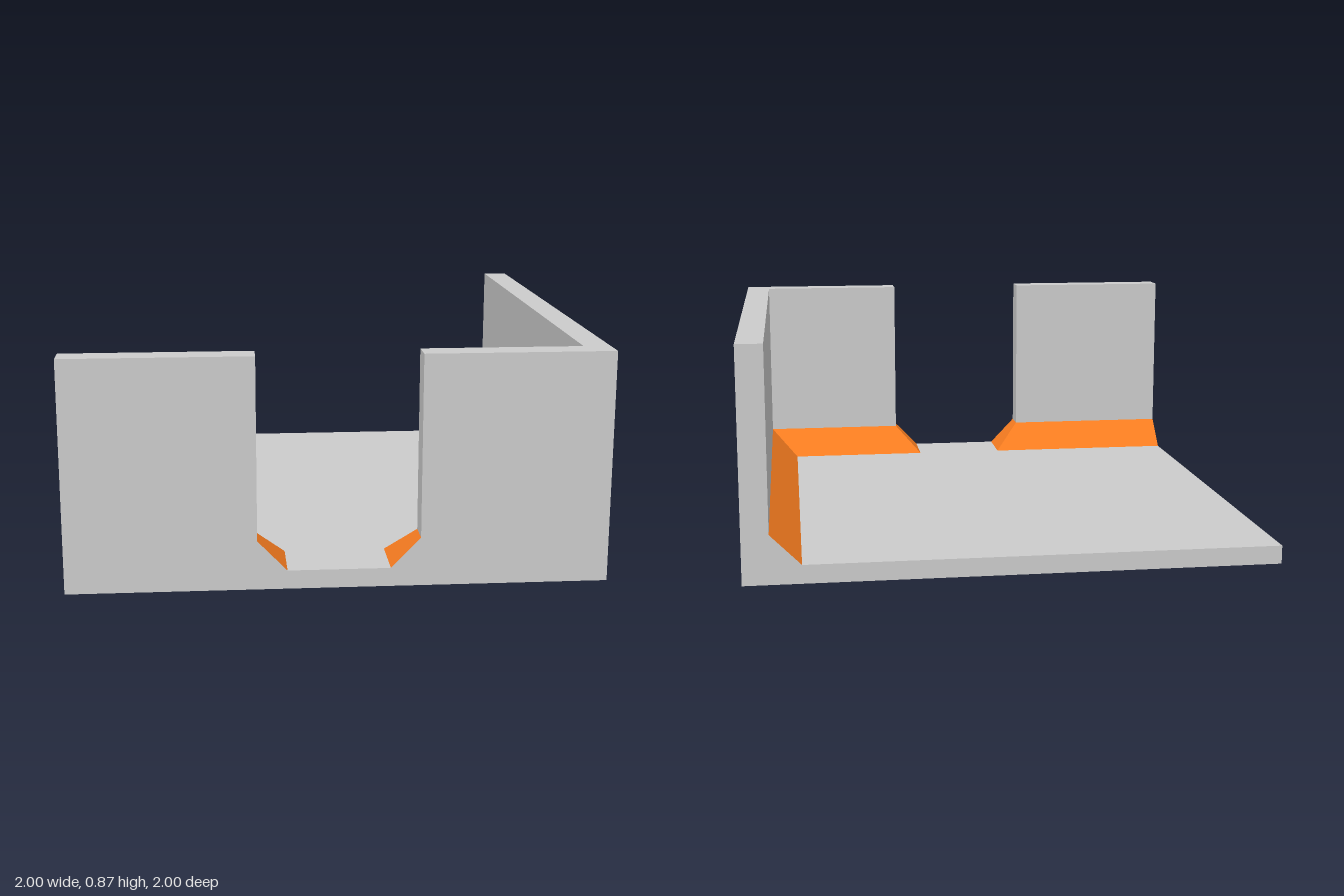
import * as THREE from 'three';

const FLOOR = 0.07, TOP = 0.87, RISE = 0.185;
const INNER = 0.785, WALL = 0.9, GATE_LOW = 0.19, GATE = 0.3;

const grey = new THREE.MeshStandardMaterial({ color: 0xcccccc, flatShading: true });
const orange = new THREE.MeshStandardMaterial({ color: 0xf97d20, flatShading: true });

// Box given by its lower and upper corners
function block(name, [x0, y0, z0], [x1, y1, z1]) {
  const mesh = new THREE.Mesh(new THREE.BoxGeometry(x1 - x0, y1 - y0, z1 - z0), grey);
  mesh.position.set((x0 + x1) / 2, (y0 + y1) / 2, (z0 + z1) / 2);
  mesh.name = name;
  return mesh;
}

function triangles(name, points, material) {
  const geometry = new THREE.BufferGeometry().setFromPoints(points);
  geometry.computeVertexNormals();
  const mesh = new THREE.Mesh(geometry, material);
  mesh.name = name;
  return mesh;
}

// Sloped fillet along paired floor and wall lines ([x, z] points), with grey ends
function fillet(name, floorLine, wallLine) {
  const low = floorLine.map(([x, z]) => new THREE.Vector3(x, FLOOR, z));
  const foot = wallLine.map(([x, z]) => new THREE.Vector3(x, FLOOR, z));
  const high = wallLine.map(([x, z]) => new THREE.Vector3(x, RISE, z));
  const slope = [];
  for (let i = 0; i < low.length - 1; i++) {
    slope.push(low[i], high[i], high[i + 1], low[i], high[i + 1], low[i + 1]);
  }
  const n = low.length - 1;
  const ends = [low[0], foot[0], high[0], low[n], high[n], foot[n]];
  const group = new THREE.Group();
  group.name = name;
  group.add(triangles(name + 'Slope', slope, orange), triangles(name + 'Ends', ends, grey));
  return group;
}

export function createModel() {
  const model = new THREE.Group();
  model.name = 'walledFloorCorner';

  // Floor slab and walls; the front wall is split by a gateway
  model.add(
    block('floor', [-1, 0, -1], [1, FLOOR, 1]),
    block('sideWall', [WALL, FLOOR, -1], [1, TOP, 1]),
    block('frontWallLeft', [GATE, FLOOR, WALL], [WALL, TOP, 1]),
    block('frontWallRight', [-1, FLOOR, WALL], [-GATE, TOP, 1])
  );

  // Sloped fillets along the foot of the walls, turning into the gateway
  model.add(
    fillet('filletLeft',
      [[GATE_LOW, 1], [GATE_LOW, INNER], [INNER, INNER], [INNER, -1]],
      [[GATE, 1], [GATE, WALL], [WALL, WALL], [WALL, -1]]),
    fillet('filletRight',
      [[-1, INNER], [-GATE_LOW, INNER], [-GATE_LOW, 1]],
      [[-1, WALL], [-GATE, WALL], [-GATE, 1]])
  );
  return model;
}
